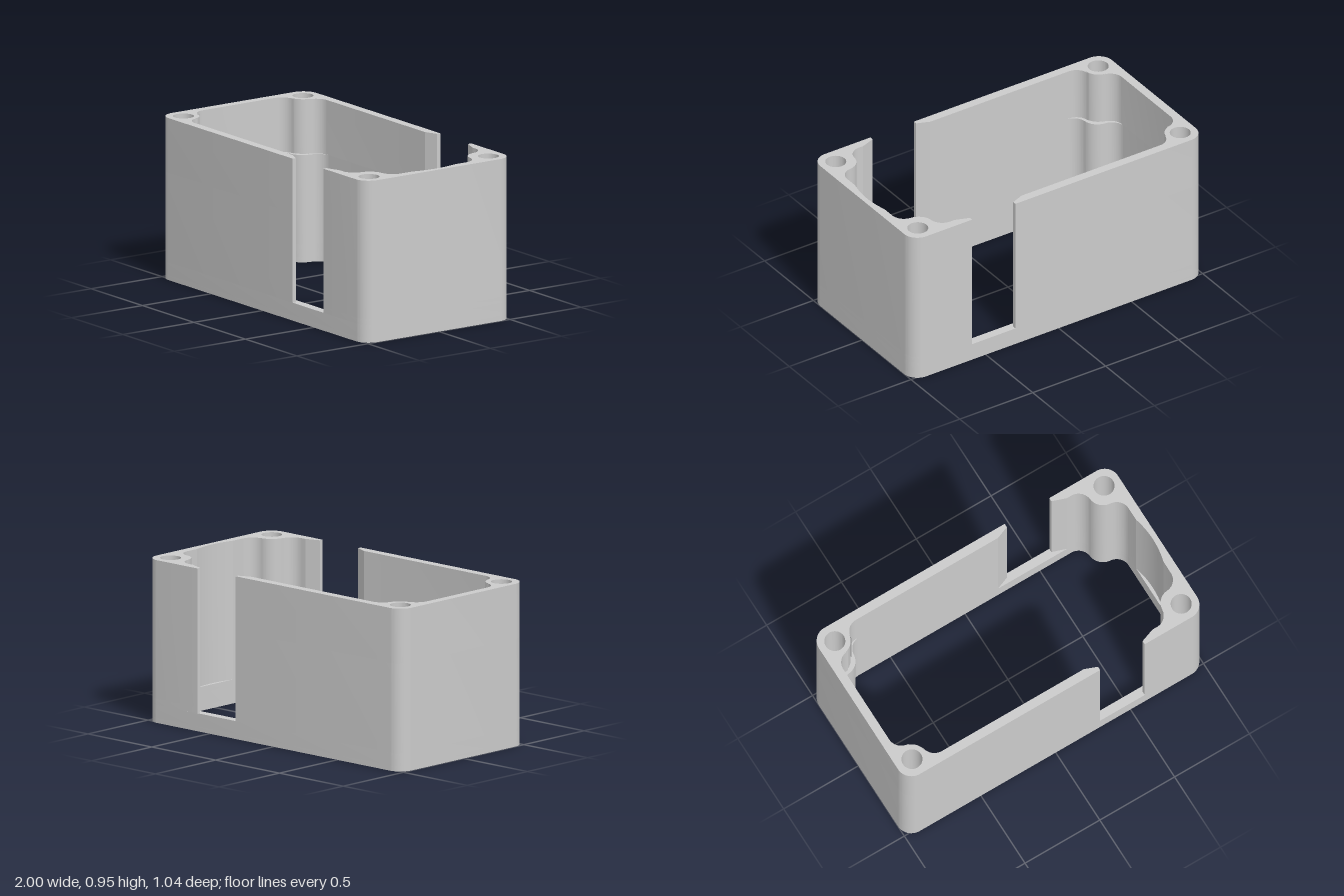
import * as THREE from 'three';
import { toCreasedNormals } from 'three/addons/utils/BufferGeometryUtils.js';

const HALF_Z = 0.52, WALL_X = 0.948, WALL_Z = 0.467, HEIGHT = 0.95;
const HOLE_X = 0.9, HOLE_Z = 0.42;

const arc = (cx, cz, r, a0, a1, n = 20) => Array.from({ length: n + 1 }, (_, i) => {
  const a = (a0 + (a1 - a0) * i / n) * Math.PI / 180;
  return [cx + r * Math.cos(a), cz + r * Math.sin(a)];
});
const side = (pts, s) => pts.map(([x, z]) => [s * x, z]);
const mirrorZ = pts => pts.map(([x, z]) => [x, -z]);
const toVectors = pts => pts
  .filter((p, i) => i === 0 || Math.hypot(p[0] - pts[i - 1][0], p[1] - pts[i - 1][1]) > 1e-5)
  .map(([x, z]) => new THREE.Vector2(x, z));

// Rounded outer corner, from the long wall to the end wall
const outerCorner = s => side(arc(0.91, HALF_Z - 0.09, 0.09, 90, 0), s);

// Inner corner wrapping the screw boss; d trims the boss back
const innerCorner = (s, d = 0) => side([
  ...arc(0.71 + d, WALL_Z - 0.08, 0.08, 90, 0),
  ...arc(0.88 + d, 0.4 + d, 0.09, 180, 270),
  ...arc(WALL_X - 0.08, 0.23 + d, 0.08, 90, 0),
], s);

// Shallow scoop in one end wall, down to the centre line
const scoopHalf = Array.from({ length: 9 }, (_, i) => {
  const t = 1 - i / 8;
  return [WALL_X + 0.02 * (1 - t * t), 0.15 * t];
});

// Joins a corner function into a closed four-corner loop
const loop = f => [
  ...f(1), ...mirrorZ(f(1)).reverse(), ...mirrorZ(f(-1)), ...f(-1).reverse(),
];

function addHoles(shape, sides, r) {
  for (const s of sides) for (const t of [1, -1]) {
    shape.holes.push(new THREE.Path(toVectors(arc(s * HOLE_X, t * HOLE_Z, r, 0, 350, 35))));
  }
  return shape;
}

// Closed ring below the slots
function ringShape(holeRadius) {
  const shape = new THREE.Shape(toVectors(loop(outerCorner)));
  shape.holes.push(new THREE.Path(toVectors(loop(s => innerCorner(s)).reverse())));
  return addHoles(shape, [1, -1], holeRadius);
}

// C-shaped end of the wall beside the slots, with bevelled inner slot edges
function endShape(s, scoop, trim) {
  const edge = s > 0 ? 0.595 : 0.297;
  const bevel = s > 0 ? 0.68 : 0.22;
  const outer = [[edge, HALF_Z], ...outerCorner(s)];
  const inner = [[edge, 0.497], [bevel, WALL_Z], ...innerCorner(s, trim), ...(scoop ? scoopHalf : [])];
  const shape = new THREE.Shape(toVectors([
    ...outer, ...mirrorZ(outer).reverse(), ...mirrorZ(inner), ...inner.slice().reverse(),
  ]));
  return addHoles(shape, [s], 0.06);
}

export function createModel() {
  const group = new THREE.Group();
  const grey = new THREE.MeshStandardMaterial({ color: 0xcbcbcb });
  grey.name = 'lightGrey';

  const addLayer = (name, shape, y0, y1) => {
    const flat = new THREE.ExtrudeGeometry(shape, { depth: y1 - y0, bevelEnabled: false });
    flat.rotateX(-Math.PI / 2);
    const mesh = new THREE.Mesh(toCreasedNormals(flat, 0.2), grey);
    mesh.name = name;
    mesh.position.y = y0;
    group.add(mesh);
  };

  // Base ring with wider screw recesses underneath
  addLayer('baseRim', ringShape(0.072), 0, 0.03);
  addLayer('baseRing', ringShape(0.06), 0.03, 0.105);

  // End with the scooped wall
  addLayer('scoopFloor', endShape(1, false, 0), 0.105, 0.14);
  addLayer('scoopedEnd', endShape(1, true, 0), 0.14, HEIGHT);

  // Long end, its bosses trimmed back near the top
  addLayer('longEndLower', endShape(-1, false, 0), 0.105, 0.63);
  addLayer('longEndUpper', endShape(-1, false, 0.02), 0.63, HEIGHT);

  return group;
}
